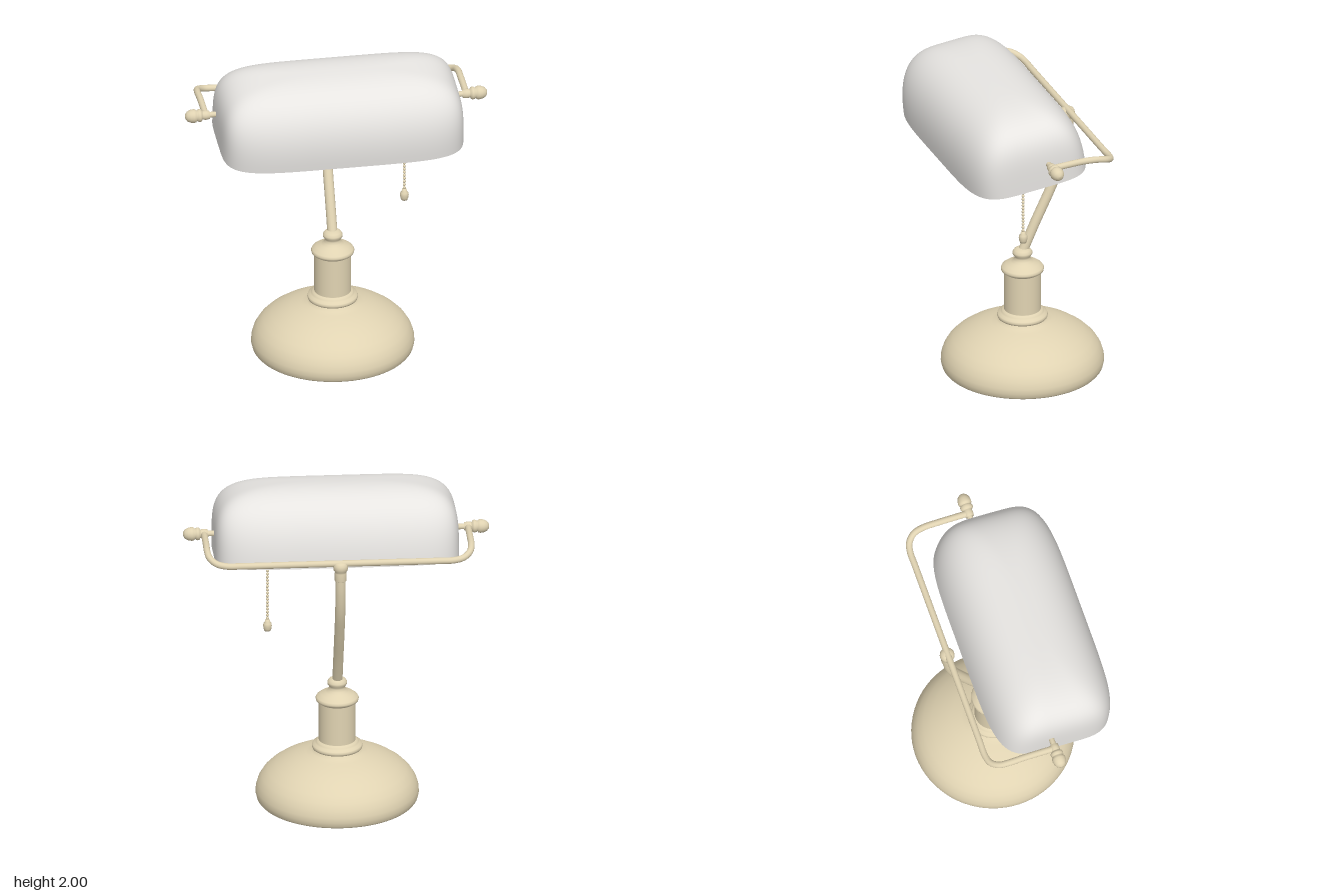
import * as THREE from 'three';
import { mergeGeometries } from 'three/addons/utils/BufferGeometryUtils.js';

const brass = new THREE.MeshStandardMaterial({ color: 0xe0d3b2 });
brass.name = 'warm brass';
const glass = new THREE.MeshStandardMaterial({ color: 0xe6e4e1 });
glass.name = 'pale grey glass';

function add(parent, name, geometry, material, x = 0, y = 0, z = 0) {
  const mesh = new THREE.Mesh(geometry, material);
  mesh.name = name;
  mesh.position.set(x, y, z);
  parent.add(mesh);
  return mesh;
}

const lathe = (points, segments = 48) =>
  new THREE.LatheGeometry(points.map(([r, y]) => new THREE.Vector2(r, y)), segments);

const tube = (points, radius, segments = 60) =>
  new THREE.TubeGeometry(
    new THREE.CatmullRomCurve3(points.map(p => new THREE.Vector3(...p))), segments, radius, 14);

// Thin domed shell: rounded-rectangle loops from the crown to the rim, then back up inside
function shadeGeometry(a, h, d, wall) {
  const rings = 30, around = 120, loops = [];
  for (let i = 0; i <= rings; i++) loops.push([1 - (i / rings) ** 3, 0]);
  loops.push([0, 0], [0, wall]);
  for (let i = rings; i >= 0; i--) loops.push([1 - (i / rings) ** 3, wall]);

  const bend = c => Math.sign(c) * Math.abs(c) ** 0.4;
  const pos = [], index = [];
  loops.forEach(([v, inset], i) => {
    const kx = (a - inset) * (1 - v ** 4.5) ** (1 / 4.5);
    const kz = (d - inset) * (1 - v ** 2.5) ** (1 / 2.5);
    for (let j = 0; j < around; j++) {
      const t = (j / around) * Math.PI * 2;
      pos.push(kx * bend(Math.cos(t)), (h - inset) * v, kz * bend(Math.sin(t)));
      if (i === loops.length - 1) continue;
      const p = i * around + j, q = i * around + (j + 1) % around;
      index.push(p, q, p + around, q, q + around, p + around);
    }
  });
  const g = new THREE.BufferGeometry();
  g.setAttribute('position', new THREE.Float32BufferAttribute(pos, 3));
  g.setIndex(index);
  g.computeVertexNormals();
  return g;
}

export function createModel() {
  const model = new THREE.Group();
  model.name = 'deskLamp';
  const lamp = new THREE.Group();
  lamp.name = 'lamp';
  lamp.position.z = 0.047;
  lamp.rotation.y = -Math.PI / 18;
  model.add(lamp);

  // Domed foot with a flat underside
  add(lamp, 'foot', lathe([
    [0, 0], [0.46, 0], [0.478, 0.001], [0.487, 0.012], [0.494, 0.04], [0.492, 0.07], [0.48, 0.11],
    [0.456, 0.15], [0.42, 0.187], [0.37, 0.223], [0.31, 0.255], [0.25, 0.28], [0.19, 0.297],
    [0.155, 0.307], [0.138, 0.32], [0.135, 0.33],
  ], 72), brass, 0.001, 0, -0.12);

  // Column with turned collars
  add(lamp, 'column', lathe([
    [0.135, 0.325], [0.15, 0.33], [0.154, 0.342], [0.15, 0.354], [0.134, 0.362], [0.128, 0.37],
    [0.122, 0.378], [0.112, 0.382], [0.112, 0.384], [0.112, 0.63], [0.112, 0.632], [0.128, 0.642],
    [0.131, 0.655], [0.125, 0.667], [0.1, 0.685], [0.07, 0.697], [0.055, 0.71], [0.048, 0.725],
    [0.05, 0.737], [0.06, 0.75], [0.06, 0.763], [0.05, 0.778], [0.034, 0.787], [0, 0.79],
  ]), brass, 0.001, 0, -0.12);

  // Curved stem and its top joint
  add(lamp, 'stem', tube([
    [0, 0.76, -0.12], [0, 0.95, -0.205], [0, 1.15, -0.3], [0, 1.33, -0.375],
    [0, 1.47, -0.405], [0, 1.62, -0.413],
  ], 0.031), brass);
  add(lamp, 'stemJoint', lathe([
    [0.03, 1.555], [0.036, 1.56], [0.036, 1.612], [0.033, 1.618], [0.042, 1.628], [0.045, 1.645],
    [0.044, 1.662], [0.034, 1.676], [0.018, 1.682], [0, 1.684],
  ], 28), brass, 0, 0, -0.413);

  // Yoke bar reaching round the shade to both pivots
  const half = [
    [0.8, 1.71, 0], [0.8, 1.716, -0.08], [0.8, 1.722, -0.2], [0.8, 1.718, -0.29],
    [0.788, 1.702, -0.354], [0.748, 1.682, -0.397], [0.69, 1.672, -0.411], [0.6, 1.67, -0.411],
    [0.3, 1.67, -0.411],
  ];
  const mirrored = half.map(([x, y, z]) => [-x, y, z]).reverse();
  add(lamp, 'yoke', tube([...half, ...mirrored], 0.02, 160), brass);

  // Pivot pins with acorn finials
  const finial = lathe([
    [0, 0.69], [0.017, 0.69], [0.017, 0.775], [0.026, 0.778], [0.029, 0.8], [0.027, 0.818],
    [0.024, 0.822], [0.036, 0.827], [0.04, 0.838], [0.036, 0.851], [0.031, 0.855], [0.04, 0.862],
    [0.042, 0.875], [0.039, 0.895], [0.03, 0.914], [0.016, 0.925], [0, 0.928],
  ], 24);
  for (const side of [1, -1]) {
    add(lamp, side > 0 ? 'leftFinial' : 'rightFinial', finial, brass, 0, 1.71, 0)
      .rotation.z = -side * Math.PI / 2;
  }

  // Shade, tipped slightly forward
  add(lamp, 'shade', shadeGeometry(0.741, 0.442, 0.388, 0.015), glass, 0, 1.554, 0.06)
    .rotation.x = 0.122;

  // Socket and bulb
  add(lamp, 'socket', new THREE.CylinderGeometry(0.062, 0.062, 0.2, 28), brass, 0, 1.87, 0.07);
  add(lamp, 'bulb', lathe([
    [0, 1.565], [0.066, 1.566], [0.074, 1.572], [0.078, 1.585], [0.1, 1.615], [0.115, 1.65],
    [0.117, 1.68], [0.108, 1.72], [0.088, 1.757], [0.07, 1.785], [0.06, 1.8],
  ], 32), glass, 0, 0, 0.07);

  // Bead pull chain on a small bracket
  add(lamp, 'chainBracket', tube([[0, 1.88, 0.07], [0.2, 1.88, 0.055], [0.413, 1.88, 0.037]], 0.01, 12), brass);
  const beads = [];
  for (let y = 1.122; y < 1.88; y += 0.021) {
    beads.push(new THREE.SphereGeometry(0.0095, 10, 8).translate(0, y, 0));
  }
  beads.push(new THREE.CylinderGeometry(0.003, 0.003, 0.78, 6).translate(0, 1.49, 0));
  add(lamp, 'pullChain', mergeGeometries(beads), brass, 0.413, 0, 0.037);
  add(lamp, 'chainPull', lathe([
    [0, 1.04], [0.019, 1.041], [0.024, 1.055], [0.027, 1.075], [0.024, 1.09], [0.016, 1.099],
    [0.014, 1.112], [0, 1.118],
  ], 18), brass, 0.413, 0, 0.037);

  return model;
}
